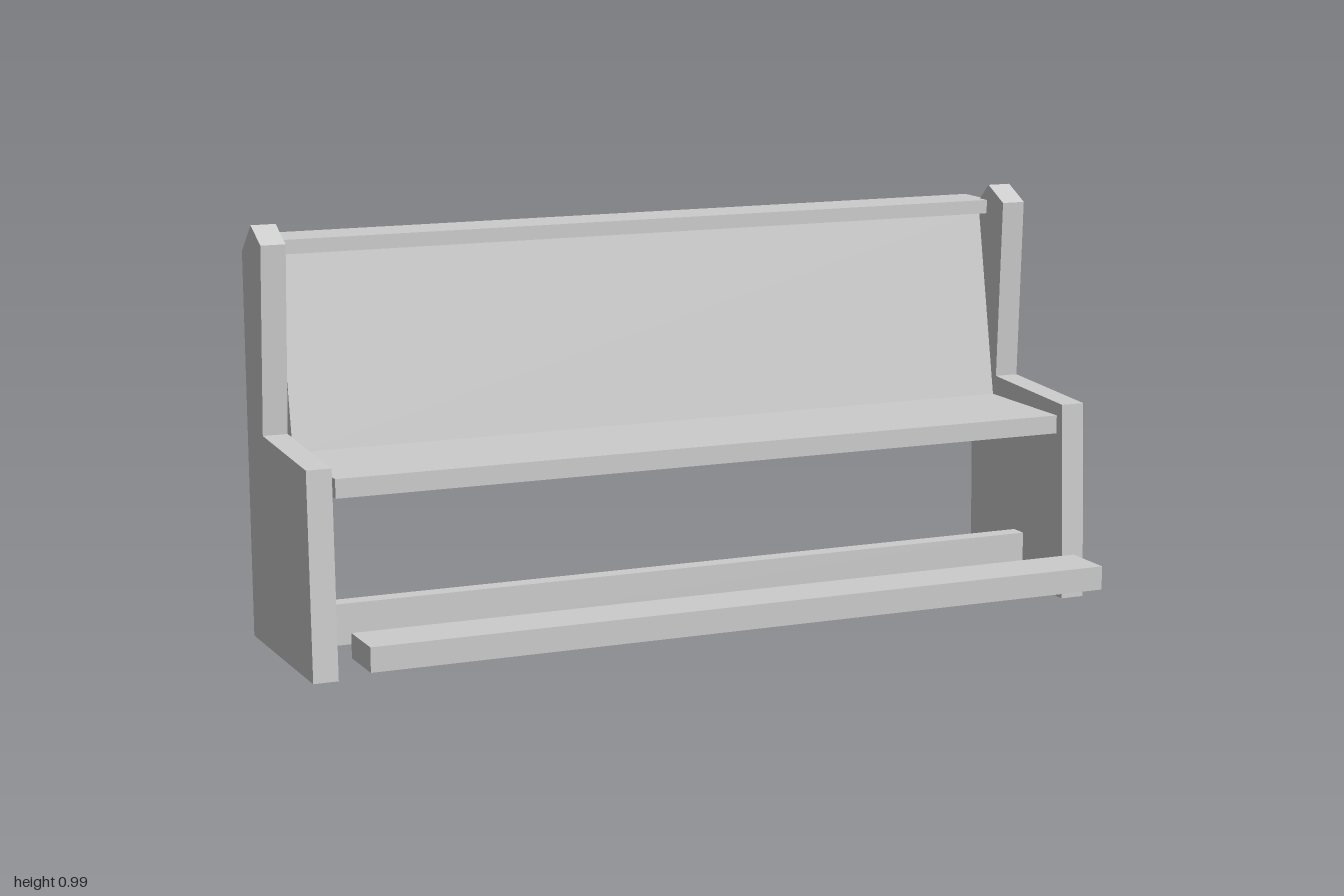
import * as THREE from 'three';

const grey = new THREE.MeshStandardMaterial({ color: 0xcccccc });
grey.name = 'plain grey';

// Board lying along x, from a (z, y) outline, spanning x0..x1
function boardAlongX(name, outline, x0, x1) {
  const shape = new THREE.Shape(outline.map(([z, y]) => new THREE.Vector2(-z, y)));
  const geometry = new THREE.ExtrudeGeometry(shape, { depth: x1 - x0, bevelEnabled: false });
  geometry.rotateY(Math.PI / 2).translate(x0, 0, 0);
  const mesh = new THREE.Mesh(geometry, grey);
  mesh.name = name;
  return mesh;
}

// Straight plank between two z and two y limits
function plank(name, halfLength, z0, z1, y0, y1) {
  const geometry = new THREE.BoxGeometry(2 * halfLength, y1 - y0, z1 - z0);
  geometry.translate(0, (y0 + y1) / 2, (z0 + z1) / 2);
  const mesh = new THREE.Mesh(geometry, grey);
  mesh.name = name;
  return mesh;
}

export function createModel() {
  const pew = new THREE.Group();
  pew.name = 'pew';

  // End panels with a stepped, pointed outline
  const endOutline = [
    [0.172, 0], [0.153, 0.487], [-0.18, 0.505], [-0.16, 0.952],
    [-0.236, 0.99], [-0.313, 0.92], [-0.295, 0],
  ];
  pew.add(boardAlongX('leftEndPanel', endOutline, 0.94, 1));
  pew.add(boardAlongX('rightEndPanel', endOutline, -1, -0.94));

  // Seat and leaning backrest
  pew.add(plank('seat', 0.93, -0.205, 0.145, 0.415, 0.46));
  const backOutline = [[-0.175, 0.455], [-0.265, 0.92], [-0.295, 0.92], [-0.205, 0.44], [-0.18, 0.44]];
  pew.add(boardAlongX('backrest', backOutline, -0.93, 0.93));

  // Book ledge, notched around the end panels
  const ledge = new THREE.Shape([
    [-0.938, 0.24], [0.938, 0.24], [0.938, 0.285], [0.95, 0.285],
    [0.95, 0.375], [-0.95, 0.375], [-0.95, 0.285], [-0.938, 0.285],
  ].map(([x, y]) => new THREE.Vector2(x, y)));
  const ledgeGeometry = new THREE.ExtrudeGeometry(ledge, { depth: 0.034, bevelEnabled: false });
  ledgeGeometry.rotateX(-Math.PI / 2).translate(0, 0.917, 0);
  const bookLedge = new THREE.Mesh(ledgeGeometry, grey);
  bookLedge.name = 'bookLedge';
  pew.add(bookLedge);

  // Stretcher between the ends and kneeler in front
  pew.add(plank('stretcher', 0.925, -0.045, 0, 0.035, 0.133));
  pew.add(plank('kneeler', 0.93, 0.241, 0.375, 0.07, 0.128));

  return pew;
}
